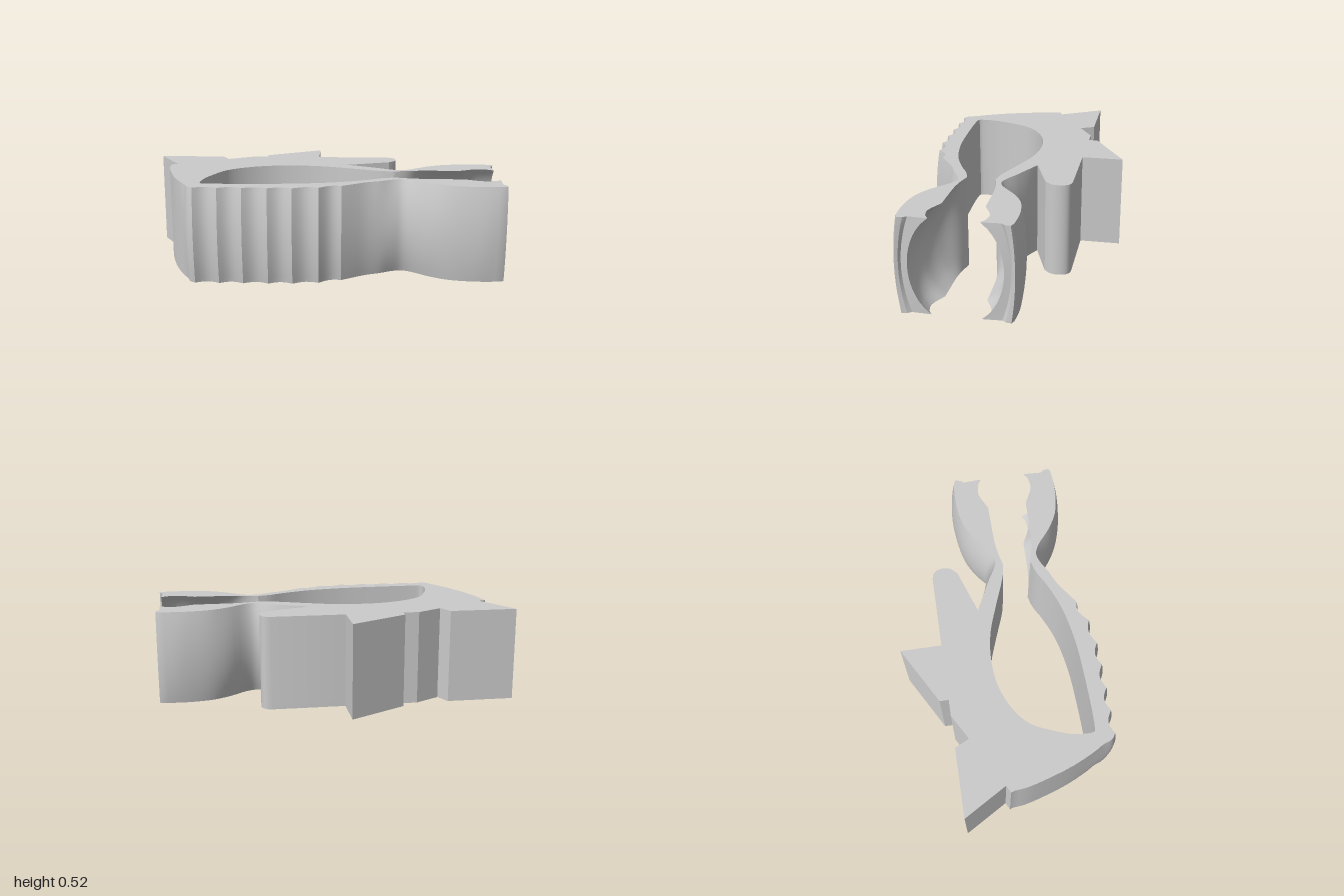
import * as THREE from 'three';
import { toCreasedNormals } from 'three/addons/utils/BufferGeometryUtils.js';

const HEIGHT = 0.525;
const LAYERS = 16;
const AXIS = 0.1625; // z of the line the two jaws mirror about

// Outline points are [x, z at the flat faces, z at mid height].
const flat = (list) => list.map(([x, z]) => [x, z, z]);
const mirror = (list) => list.map(([x, a, b]) => [x, 2 * AXIS - a, 2 * AXIS - b]).reverse();

// Smooth run of points through a few control points
function smooth(list, n) {
  const curve = new THREE.CatmullRomCurve3(
    list.map((p) => new THREE.Vector3(...p)), false, 'centripetal');
  return curve.getPoints(n).map((v) => [v.x, v.y, v.z]);
}

// How far a wall has bulged at t (0 = mid height, 1 = flat faces)
const shallow = (t) => 1 - t * t;
const round = (t) => (Math.sqrt(1 - 0.79 * t * t) - 0.458) / 0.542;

function buildOutline() {
  const loop = [];
  const add = (list, bulge = shallow) => {
    for (const [x, edge, mid] of list) {
      const last = loop[loop.length - 1];
      if (last && Math.hypot(last.x - x, last.edge - edge) < 1e-4) continue;
      loop.push({ x, edge, mid, bulge });
    }
  };

  // Straight back with notch and wedge
  add(flat([[-0.9, -0.07], [-0.86, -0.09], [-1, -0.33], [-0.62, -0.33], [-0.58, -0.25],
    [-0.44, -0.33], [-0.35, -0.33], [-0.35, -0.38], [-0.03, -0.56], [-0.03, -0.33]]));
  // Rounded nose and its undercut
  add(smooth(flat([[0.38, -0.33], [0.415, -0.318], [0.435, -0.28], [0.43, -0.225],
    [0.395, -0.185]]), 12));
  add(flat([[0.15, -0.1]]));

  // Outside of a jaw, from the neck to the tip
  const jawOutside = smooth([[0.33, -0.01, -0.045], [0.4, 0.03, -0.024], [0.45, 0.043, -0.013],
    [0.5, 0.025, -0.03], [0.6, -0.055, -0.1], [0.7, -0.11, -0.14], [0.82, -0.133, -0.16],
    [0.9, -0.135, -0.163], [0.975, -0.13, -0.153]], 26);
  const lip = [[1, -0.12, -0.14], [0.995, -0.09, -0.125], [0.98, -0.07, -0.115]];
  // Inside of a jaw, from the tip back to the neck
  const jawInside = [
    [0.985, 0.033, -0.082],
    ...smooth([[0.95, 0.012, -0.086], [0.89, 0.005, -0.087], [0.79, 0.05, -0.085]], 6),
    ...smooth([[0.79, 0.05, -0.085], [0.65, 0.052, -0.07], [0.56, 0.055, -0.025],
      [0.48, 0.066, 0.045], [0.41, 0.083, 0.083]], 14),
  ];
  add(smooth([[0.15, -0.1, -0.1], [0.24, -0.055, -0.078], [0.33, -0.01, -0.045]], 6));
  add(jawOutside);
  add(lip);
  add(jawInside, round);

  // Teardrop opening between the arms
  add(smooth(flat([[0.41, 0.083], [0.34, 0.07], [0.15, 0], [0, -0.05], [-0.15, -0.068],
    [-0.3, -0.055], [-0.44, 0], [-0.54, 0.08], [-0.6, 0.2], [-0.635, 0.3],
    [-0.645, 0.38]]), 44));
  add(smooth(flat([[-0.645, 0.38], [-0.637, 0.423], [-0.6, 0.43], [-0.3, 0.425], [-0.1, 0.41],
    [0.1, 0.37], [0.25, 0.31], [0.34, 0.262], [0.41, 0.242]]), 34));

  // Front jaw
  add(mirror(jawInside), round);
  add(mirror(lip));
  add(mirror(jawOutside));
  add(smooth([[0.33, 0.335, 0.37], [0.25, 0.37, 0.4], [0.17, 0.425, 0.45],
    [0.12, 0.46, 0.485]], 8));

  // Finger grip: shallow scallops between ridges
  const ridges = [[0.12, 0.485], [0, 0.535], [-0.14, 0.555], [-0.27, 0.558], [-0.405, 0.558],
    [-0.535, 0.558], [-0.665, 0.556]];
  for (let i = 0; i < ridges.length - 1; i++) {
    const [x0, z0] = ridges[i], [x1, z1] = ridges[i + 1];
    for (let k = 0; k <= 6; k++) {
      const s = k / 6;
      const z = z0 + (z1 - z0) * s - 0.025 * Math.sin(Math.PI * s);
      add([[x0 + (x1 - x0) * s, z - 0.025, z]]);
    }
  }
  // Curved heel
  add(smooth([[-0.665, 0.531, 0.556], [-0.695, 0.51, 0.535], [-0.715, 0.46, 0.495],
    [-0.745, 0.41, 0.425], [-0.81, 0.27, 0.27], [-0.865, 0.1, 0.1], [-0.885, 0.02, 0.02],
    [-0.893, -0.05, -0.05]], 18));
  return loop.reverse(); // counter-clockwise seen from above
}

// Stack the outline in layers, then close it with flat caps
function buildBody() {
  const loop = buildOutline();
  const n = loop.length;
  const positions = [], index = [];
  for (let j = 0; j <= LAYERS; j++) {
    const t = Math.abs((2 * j) / LAYERS - 1);
    for (const p of loop) {
      positions.push(p.x, (HEIGHT * j) / LAYERS, p.edge + (p.mid - p.edge) * p.bulge(t));
    }
  }
  for (let j = 0; j < LAYERS; j++) {
    for (let i = 0; i < n; i++) {
      const a = j * n + i, b = j * n + ((i + 1) % n);
      index.push(a, b, b + n, a, b + n, a + n);
    }
  }
  const contour = loop.map((p) => new THREE.Vector2(p.x, -p.edge));
  const top = LAYERS * n;
  for (const [a, b, c] of THREE.ShapeUtils.triangulateShape(contour, [])) {
    index.push(top + a, top + b, top + c, a, c, b);
  }
  const geometry = new THREE.BufferGeometry();
  geometry.setAttribute('position', new THREE.Float32BufferAttribute(positions, 3));
  geometry.setIndex(index);
  return toCreasedNormals(geometry, 0.45);
}

export function createModel() {
  const group = new THREE.Group();
  group.name = 'springClip';
  const body = new THREE.Mesh(buildBody(), new THREE.MeshStandardMaterial({ color: 0xcccccc }));
  body.name = 'clipBody';
  group.add(body);
  return group;
}
